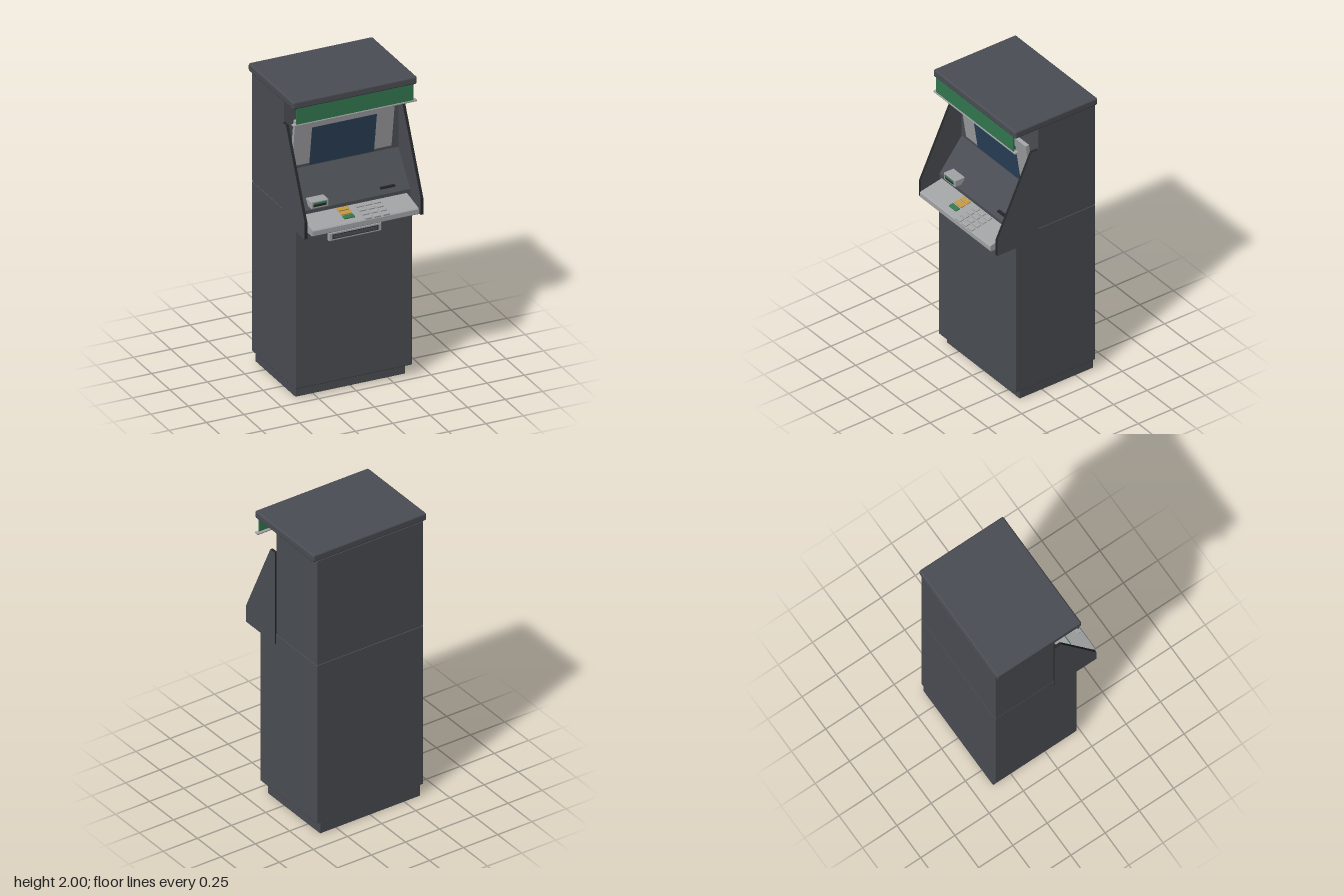
import * as THREE from 'three';
import { RoundedBoxGeometry } from 'three/addons/geometries/RoundedBoxGeometry.js';

const mat = (name, color) => {
  const m = new THREE.MeshStandardMaterial({ color });
  m.name = name;
  return m;
};

export function createModel() {
  const model = new THREE.Group();
  model.name = 'cashMachine';

  const body = mat('charcoal', 0x4a4d53);
  const dark = mat('nearBlack', 0x242628);
  const grey = mat('lightGrey', 0xa3a4a6);
  const green = mat('green', 0x33784f);
  const blue = mat('screenBlue', 0x2b425a);
  const amber = mat('amber', 0xc4983f);

  // Box given by its limits on each axis; r rounds the edges
  const box = (name, m, [x0, x1], [y0, y1], [z0, z1], r = 0, parent = model) => {
    const s = [x1 - x0, y1 - y0, z1 - z0];
    const g = r ? new RoundedBoxGeometry(...s, 2, r) : new THREE.BoxGeometry(...s);
    const mesh = new THREE.Mesh(g, m);
    mesh.position.set((x0 + x1) / 2, (y0 + y1) / 2, (z0 + z1) / 2);
    mesh.name = name;
    parent.add(mesh);
    return mesh;
  };

  // Side profile of [z, y] points swept from x0 to x1
  const sweep = (name, m, pts, x0, x1) => {
    const shape = new THREE.Shape(pts.map(p => new THREE.Vector2(...p)));
    const g = new THREE.ExtrudeGeometry(shape, { depth: x1 - x0, bevelEnabled: false });
    g.rotateY(-Math.PI / 2).translate(x1, 0, 0);
    const mesh = new THREE.Mesh(g, m);
    mesh.name = name;
    model.add(mesh);
  };

  // Cabinet
  box('plinth', body, [-0.367, 0.367], [0, 0.08], [-0.38, 0.168], 0.004);
  box('lowerCabinet', body, [-0.39, 0.39], [0.075, 1.207], [-0.38, 0.215], 0.006);
  box('upperCabinet', body, [-0.39, 0.39], [1.207, 1.952], [-0.38, 0.05], 0.006);
  box('roof', body, [-0.415, 0.415], [1.948, 2], [-0.38, 0.235], 0.012);

  // Sign under the roof
  box('signPanel', green, [-0.39, 0.39], [1.845, 1.952], [0.223, 0.233]);
  box('signLip', grey, [-0.413, 0.413], [1.836, 1.847], [0.207, 0.237], 0.003);

  // Side wings
  const wing = [[0.05, 1.137], [0.355, 1.137], [0.355, 1.25], [0.1, 1.787], [0.05, 1.787]];
  sweep('rightWing', [body, dark], wing, -0.396, -0.378);
  sweep('leftWing', [body, dark], wing, 0.378, 0.396);

  // Sloping fascia behind the shelf
  sweep('fascia', body, [[0.04, 1.2], [0.215, 1.2], [0.215, 1.25], [0.05, 1.46], [0.04, 1.46]], -0.378, 0.378);

  // Display, leaning forward at the top
  const display = new THREE.Group();
  display.name = 'display';
  display.position.set(0, 1.795, 0.098);
  display.rotation.x = 0.15;
  model.add(display);
  box('screenBezel', grey, [-0.333, 0.333], [-0.36, 0], [-0.025, 0], 0, display);
  box('screen', blue, [-0.216, 0.216], [-0.36, -0.066], [-0.004, 0.002], 0, display);

  // Receipt slot
  box('receiptFrame', grey, [-0.297, -0.181], [1.268, 1.315], [0.17, 0.244], 0.004);
  box('receiptOpening', dark, [-0.282, -0.196], [1.28, 1.297], [0.24, 0.246]);
  box('receiptLight', green, [-0.282, -0.196], [1.297, 1.307], [0.24, 0.25]);

  // Card slot
  box('cardSlot', dark, [0.188, 0.285], [1.28, 1.29], [0.17, 0.203]);

  // Keypad shelf
  const slope = 0.2, shelfY = z => 1.196 + (0.376 - z) * slope;
  sweep('keypadShelf', grey, [[0.15, 1.155], [0.373, 1.155], [0.378, 1.16], [0.378, 1.19],
    [0.372, shelfY(0.372)], [0.15, shelfY(0.15)]], -0.355, 0.355);

  // Keys follow the slope of the shelf
  const key = (name, m, x, z, w) => {
    const y = shelfY(z);
    const k = box(name, m, [x - w / 2, x + w / 2], [y - 0.007, y + 0.008], [z - 0.016, z + 0.016], 0.004);
    k.rotation.x = Math.atan(slope);
  };
  for (let row = 0; row < 4; row++) {
    const z = 0.239 + row * 0.0405;
    for (let col = 0; col < 3; col++) key('numberKey', grey, 0.023 + col * 0.0595, z, 0.047);
    if (row < 3) key('functionKey', row < 2 ? amber : green, -0.085, z, 0.072);
  }

  // Cash slot: four-sided frame around a dark opening
  box('cashFrame', grey, [-0.176, 0.176], [1.024, 1.08], [0.2, 0.238], 0.006);
  box('cashOpening', dark, [-0.153, 0.153], [1.037, 1.067], [0.232, 0.24]);
  box('cashShutter', body, [-0.147, 0.147], [1.041, 1.063], [0.233, 0.241]);

  return model;
}
